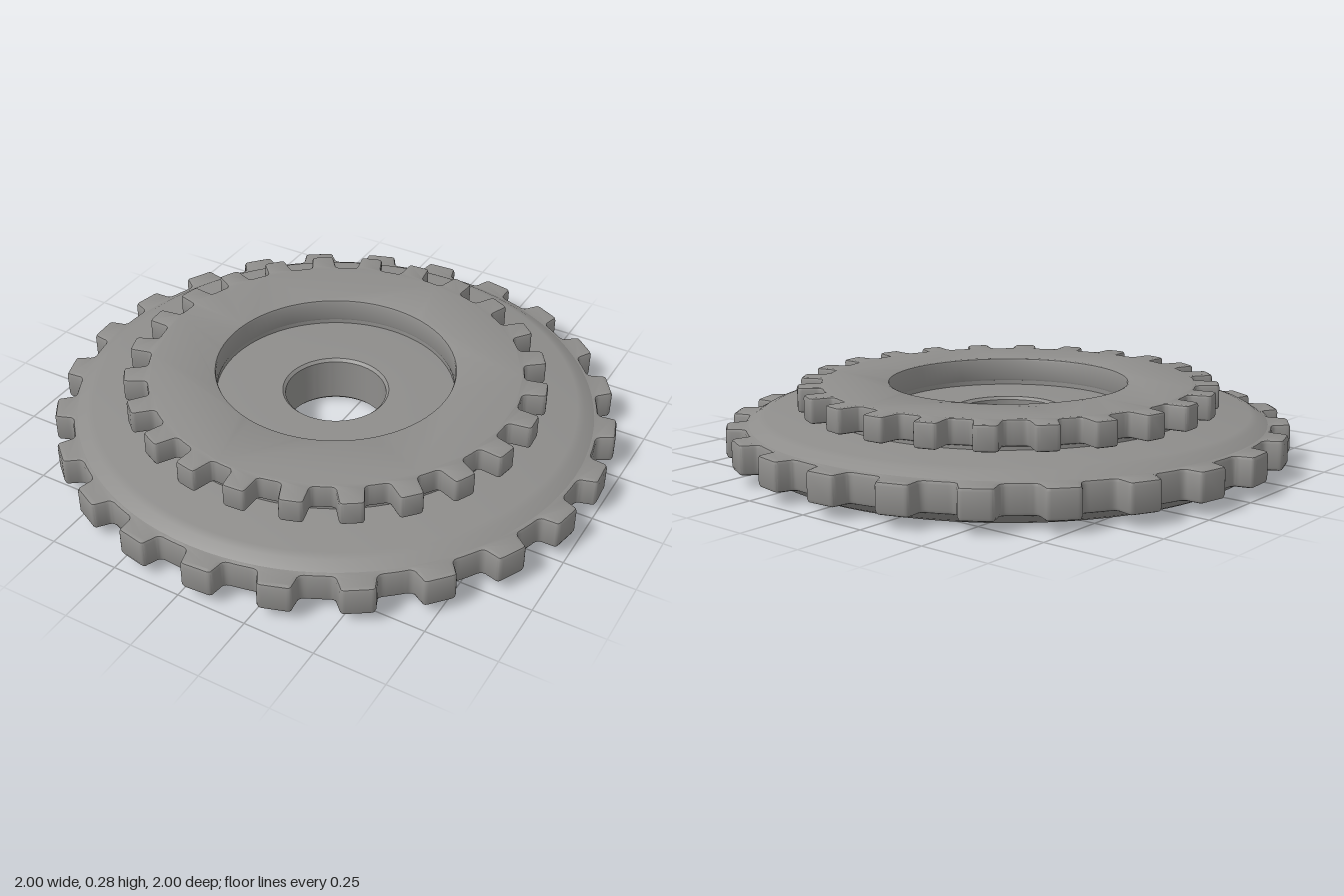
import * as THREE from 'three';
import { toCreasedNormals } from 'three/addons/utils/BufferGeometryUtils.js';

const TEETH = 24;
const STEP = (Math.PI * 2) / TEETH;
const OFFSET = THREE.MathUtils.degToRad(94);

// Closed toothed outline with filleted roots, rounded tips and a round bore
function gearShape({ root, tip, half, taper, round, bore }) {
  const shape = new THREE.Shape();
  const baseAngle = Math.asin((half + round) / root);
  const rootU = root * Math.cos(baseAngle);
  for (let i = 0; i < TEETH; i++) {
    const a = OFFSET + i * STEP;
    const c = Math.cos(a), s = Math.sin(a);
    const at = (u, v) => [u * c - v * s, u * s + v * c];
    const top = half - taper;
    if (i === 0) shape.moveTo(...at(rootU, -half - round));
    shape.quadraticCurveTo(...at(root, -half), ...at(root + round, -half));
    shape.lineTo(...at(tip - round, -top));
    shape.quadraticCurveTo(...at(tip, -top), ...at(tip, -top + round));
    shape.lineTo(...at(tip, top - round));
    shape.quadraticCurveTo(...at(tip, top), ...at(tip - round, top));
    shape.lineTo(...at(root + round, half));
    shape.quadraticCurveTo(...at(root, half), ...at(rootU, half + round));
    shape.absarc(0, 0, root, a + baseAngle, a + STEP - baseAngle, false);
  }
  const hole = [];
  for (let i = 0; i < 96; i++) {
    const a = (-i / 96) * Math.PI * 2;
    hole.push(new THREE.Vector2(bore * Math.cos(a), bore * Math.sin(a)));
  }
  shape.holes.push(new THREE.Path().setFromPoints(hole));
  return shape;
}

// Toothed ring lying flat between two heights, with softened edges
function toothedRing(name, outline, y0, y1, bevel, material) {
  const geometry = new THREE.ExtrudeGeometry(gearShape(outline), {
    depth: y1 - y0 - 2 * bevel,
    curveSegments: 4,
    bevelEnabled: true,
    bevelThickness: bevel,
    bevelSize: bevel,
    bevelOffset: -bevel,
    bevelSegments: 2,
  });
  geometry.translate(0, 0, y0 + bevel);
  geometry.rotateX(-Math.PI / 2);
  const mesh = new THREE.Mesh(toCreasedNormals(geometry, Math.PI / 5), material);
  mesh.name = name;
  return mesh;
}

// Solid of revolution from a closed [radius, height] section
function turned(name, section, material) {
  const points = section.map(([r, y]) => new THREE.Vector2(r, y));
  const geometry = new THREE.LatheGeometry(points, 96);
  const mesh = new THREE.Mesh(toCreasedNormals(geometry, Math.PI / 7), material);
  mesh.name = name;
  return mesh;
}

export function createModel() {
  const group = new THREE.Group();
  group.name = 'doubleSprocket';
  const steel = new THREE.MeshStandardMaterial({ color: 0x8e8d8b });
  steel.name = 'grey steel';

  // Large plate with bevelled rim and central bore
  group.add(turned('basePlate', [
    [0.19, 0], [0.86, 0], [0.885, 0.012], [0.928, 0.045],
    [0.928, 0.142], [0.885, 0.169], [0.86, 0.177],
    [0.19, 0.177], [0.18, 0.167], [0.18, 0.01], [0.19, 0],
  ], steel));

  // Teeth around the large plate
  group.add(toothedRing('outerTeeth', {
    root: 0.935, tip: 0.998, half: 0.064, taper: 0.006, round: 0.018, bore: 0.8,
  }, 0.04, 0.147, 0.014, steel));

  // Neck that lifts the small ring off the plate
  group.add(turned('neck', [
    [0.427, 0.17], [0.655, 0.17], [0.655, 0.21], [0.427, 0.21], [0.427, 0.17],
  ], steel));

  // Small toothed ring around the recess
  group.add(toothedRing('innerTeeth', {
    root: 0.667, tip: 0.748, half: 0.046, taper: 0.004, round: 0.016, bore: 0.424,
  }, 0.19, 0.279, 0.01, steel));

  return group;
}
